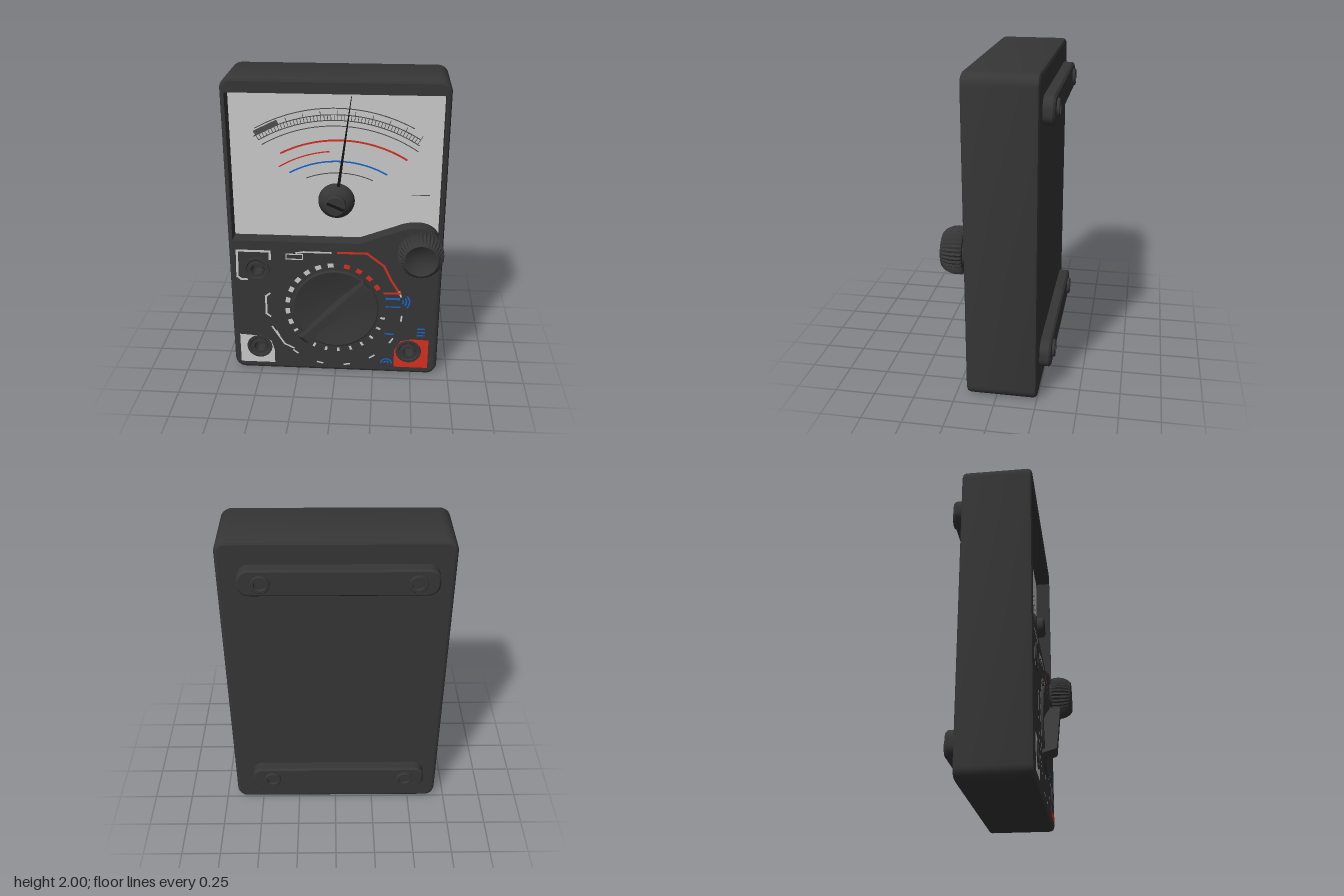
import * as THREE from 'three';
import { toCreasedNormals } from 'three/addons/utils/BufferGeometryUtils.js';

const mat = (color) => new THREE.MeshStandardMaterial({ color, side: THREE.DoubleSide });
const DARK = mat(0x363636), BLACK = mat(0x141414), GREY = mat(0xcccccc), INK = mat(0x505050);
const RED = mat(0xd8301f), BLUE = mat(0x1565d0);
const FRONT = 0.185, PANEL = 0.085, MARK = FRONT + 0.003, PRINT = PANEL + 0.003;
const V = (x, y) => new THREE.Vector2(x, y);

export function createModel() {
  const root = new THREE.Group();

  const add = (name, geo, material, x = 0, y = 0, z = 0, parent = root) => {
    const m = new THREE.Mesh(geo, material);
    m.name = name;
    m.position.set(x, y, z);
    parent.add(m);
    return m;
  };
  const group = (name) => {
    const g = new THREE.Group();
    g.name = name;
    root.add(g);
    return g;
  };

  // Rounded rectangle outline, anticlockwise
  const roundRect = (cx, cy, hw, hh, r, n = 8) => {
    const pts = [];
    [[1, -1], [1, 1], [-1, 1], [-1, -1]].forEach(([sx, sy], k) => {
      for (let i = 0; i <= n; i++) {
        const a = (k - 1 + i / n) * Math.PI / 2;
        pts.push(V(cx + sx * (hw - r) + r * Math.cos(a), cy + sy * (hh - r) + r * Math.sin(a)));
      }
    });
    return pts;
  };
  // Skin joining closed loops of equal length, given as [points, z]
  const skin = (loops, crease = 0.6) => {
    const pos = [], idx = [], n = loops[0][0].length;
    loops.forEach(([pts, z]) => pts.forEach((p) => pos.push(p.x, p.y, z)));
    for (let j = 0; j < loops.length - 1; j++) {
      for (let i = 0; i < n; i++) {
        const a = j * n + i, b = j * n + (i + 1) % n;
        idx.push(a, b, b + n, a, b + n, a + n);
      }
    }
    const g = new THREE.BufferGeometry();
    g.setAttribute('position', new THREE.Float32BufferAttribute(pos, 3));
    g.setIndex(idx);
    return toCreasedNormals(g, crease);
  };
  // Turned part around z from [radius, z] pairs
  const turned = (profile, seg = 40) =>
    new THREE.LatheGeometry(profile.map(([r, z]) => V(r, z)), seg).rotateX(Math.PI / 2);
  const crisp = (g) => toCreasedNormals(g, 0.6);
  const circleHole = (x, y, r) => new THREE.Path().absarc(x, y, r, 0, Math.PI * 2, true);

  // Flat print: arcs and strokes
  const arc = (name, m, cx, cy, r, w, a0, a1, z, parent) => add(name,
    new THREE.RingGeometry(r - w / 2, r + w / 2, 32, 1, a0 * Math.PI / 180, (a1 - a0) * Math.PI / 180),
    m, cx, cy, z, parent);
  const stroke = (name, m, pts, w, z, parent, closed = false) => {
    for (let i = 0; i < pts.length - (closed ? 0 : 1); i++) {
      const [x0, y0] = pts[i], [x1, y1] = pts[(i + 1) % pts.length];
      const s = add(name, new THREE.PlaneGeometry(Math.hypot(x1 - x0, y1 - y0) + w * 0.8, w), m,
        (x0 + x1) / 2, (y0 + y1) / 2, z, parent);
      s.rotation.z = Math.atan2(y1 - y0, x1 - x0);
    }
  };

  // Case
  const CX = -0.004, HW = 0.68;
  const outline = (inset) => roundRect(CX, 1, HW - inset, 1 - inset, 0.07 - inset);
  const body = group('case');
  add('caseSides', skin([[outline(0.02), -0.25], [outline(0.006), -0.243], [outline(0), -0.228],
    [outline(0), 0.16], [outline(0.007), 0.178], [outline(0.022), FRONT]]), DARK, 0, 0, 0, body);
  add('caseBack', new THREE.ShapeGeometry(new THREE.Shape(outline(0.02))).rotateY(Math.PI),
    DARK, 2 * CX, 0, -0.25, body).position.x = 2 * CX;

  // Window opening, its lower edge swelling around the thumb wheel
  const win = new THREE.Shape();
  win.moveTo(-0.655, 0.955);
  win.lineTo(0.15, 0.955);
  win.lineTo(0.39, 1.045);
  win.bezierCurveTo(0.48, 1.085, 0.6, 1.085, 0.645, 1.0);
  win.lineTo(0.645, 1.91);
  win.lineTo(-0.655, 1.91);
  const winPts = win.getPoints(12);

  const sockets = [[-0.51, 0.755], [-0.51, 0.175], [0.485, 0.175]];
  const KX = 0, KY = 0.485;
  const face = new THREE.Shape(outline(0.022));
  face.holes.push(new THREE.Path(winPts), circleHole(KX, KY, 0.262));
  sockets.forEach(([x, y]) => face.holes.push(circleHole(x, y, 0.06)));
  add('caseFront', new THREE.ShapeGeometry(face, 32), DARK, 0, 0, FRONT, body);
  add('windowWalls', skin([[winPts, FRONT], [winPts, PANEL]], 0.4), DARK, 0, 0, 0, body);

  // Dial panel with printed scales
  const dial = group('dial');
  add('dialPanel', new THREE.ShapeGeometry(win, 12), GREY, 0, 0, PANEL, dial);
  [[0.89, 56, 121], [0.925, 57, 121], [0.96, 58, 122], [1.0, 62, 120]].forEach(([r, a0, a1]) =>
    arc('blackScale', INK, 0, 0.8, r, 0.006, a0, a1, PRINT, dial));
  for (let i = 0; i <= 50; i++) {
    const a = (58 + i * 1.26) * Math.PI / 180, r = i % 5 ? 0.96 : 0.985;
    stroke('scaleTick', INK, [[0.925 * Math.cos(a), 0.8 + 0.925 * Math.sin(a)],
      [r * Math.cos(a), 0.8 + r * Math.sin(a)]], 0.004, PRINT, dial);
  }
  stroke('scaleBlock', INK, [[-0.49, 1.64], [-0.37, 1.7]], 0.035, PRINT, dial);
  arc('redScale', RED, 0.02, 0.82, 0.78, 0.012, 58, 118, PRINT, dial);
  arc('redScale', RED, 0.02, 0.82, 0.71, 0.008, 95, 122, PRINT, dial);
  arc('blueScale', BLUE, 0.01, 0.86, 0.605, 0.01, 60, 120, PRINT, dial);
  arc('lowerScale', INK, 0.01, 0.86, 0.53, 0.006, 66, 112, PRINT, dial);
  stroke('dialMark', INK, [[0.47, 1.255], [0.58, 1.255]], 0.005, PRINT, dial);

  // Needle and its slotted hub
  const needle = new THREE.Shape([V(-0.011, 0), V(0.011, 0), V(0.002, 0.68), V(-0.002, 0.68)]);
  add('needle', new THREE.ExtrudeGeometry(needle, { depth: 0.006, bevelEnabled: false }),
    BLACK, 0, 1.205, 0.11).rotation.z = -0.134;
  const hub = group('needleHub');
  hub.position.set(0, 1.205, 0);
  add('hubDome', crisp(turned([[0.115, PANEL], [0.113, 0.1], [0.1, 0.125], [0.075, 0.148], [0.065, 0.152]])),
    DARK, 0, 0, 0, hub);
  add('hubScrew', crisp(turned([[0.065, 0.14], [0.065, 0.188], [0.059, 0.194], [0, 0.194]])), DARK, 0, 0, 0, hub);
  add('hubSlot', new THREE.BoxGeometry(0.115, 0.018, 0.004), BLACK, 0, 0, 0.194, hub).rotation.z = -0.42;

  // Selector: shallow dish with a sloped grip bar
  const selector = group('selectorKnob');
  selector.position.set(KX, KY, 0);
  add('selectorDish', crisp(turned([[0.28, FRONT], [0.28, 0.198], [0.272, 0.203], [0.258, 0.201],
    [0.2, 0.185], [0.1, 0.172], [0, 0.168]], 56)), DARK, 0, 0, 0, selector);
  const gripSide = new THREE.Shape([V(-0.335, 0.187), V(0.28, 0.187), V(0.29, 0.2), V(0.29, 0.265), V(0.283, 0.272),
    V(-0.27, 0.272), V(-0.285, 0.265)]);
  gripSide.holes = [];
  const grip = add('selectorGrip', new THREE.ExtrudeGeometry(gripSide, { depth: 0.056, bevelEnabled: false })
    .translate(0, 0, -0.028).rotateX(Math.PI / 2), DARK, 0, 0, 0, selector);
  grip.rotation.z = 0.8;
  const root45 = add('selectorGripBase', new THREE.BoxGeometry(0.52, 0.056, 0.04), DARK, 0, 0, 0.175, selector);
  root45.rotation.z = 0.8;

  // Ribbed thumb wheel
  const wheelGeo = turned([[0.1, FRONT], [0.1, 0.2], [0.134, 0.2], [0.142, 0.213], [0.143, 0.25], [0.138, 0.28],
    [0.123, 0.312], [0.108, 0.33], [0.1, 0.333], [0.092, 0.328], [0.05, 0.308], [0, 0.302]], 144);
  const wp = wheelGeo.attributes.position;
  for (let i = 0; i < wp.count; i++) {
    const x = wp.getX(i), y = wp.getY(i);
    if (Math.hypot(x, y) < 0.115) continue;
    const k = 0.985 + 0.03 * Math.cos(36 * Math.atan2(y, x));
    wp.setXY(i, x * k, y * k);
  }
  add('thumbWheel', crisp(wheelGeo), DARK, 0.535, 0.917, 0);

  // Sockets
  sockets.forEach(([x, y]) => add('socket', crisp(turned([[0.085, FRONT], [0.083, 0.193], [0.066, 0.193],
    [0.06, 0.187], [0.052, 0.187], [0.05, 0.194], [0.036, 0.194], [0.032, 0.11], [0, 0.11]], 32)), DARK, x, y, 0));

  // Printed patches behind the lower sockets
  const patch = (name, m, pts, [hx, hy]) => {
    const s = new THREE.Shape(pts.map(([x, y]) => V(x, y)));
    s.holes.push(circleHole(hx, hy, 0.075));
    add(name, new THREE.ShapeGeometry(s, 16), m, 0, 0, MARK);
  };
  patch('greyPatch', GREY, [[-0.64, 0.05], [-0.41, 0.05], [-0.41, 0.15], [-0.43, 0.22], [-0.49, 0.255], [-0.64, 0.265]], sockets[1]);
  patch('redPatch', RED, [[0.39, 0.05], [0.615, 0.05], [0.615, 0.265], [0.5, 0.27], [0.43, 0.252], [0.39, 0.18]], sockets[2]);

  // Range markings around the selector
  const marks = group('rangeMarkings');
  stroke('socketFrame', GREY, [[-0.42, 0.83], [-0.42, 0.885], [-0.63, 0.885], [-0.635, 0.7], [-0.61, 0.68], [-0.575, 0.68]], 0.015, MARK, marks);
  stroke('rangeBox', GREY, [[-0.315, 0.835], [-0.21, 0.835], [-0.21, 0.87], [-0.315, 0.87]], 0.008, MARK, marks, true);
  stroke('rangeLine', GREY, [[-0.25, 0.88], [-0.2, 0.888], [-0.03, 0.888]], 0.012, MARK, marks);
  stroke('rangeLine', RED, [[0.015, 0.89], [0.2, 0.89], [0.31, 0.805], [0.36, 0.7], [0.415, 0.61], [0.315, 0.61]], 0.015, MARK, marks);
  stroke('rangeLine', GREY, [[-0.43, 0.58], [-0.455, 0.56], [-0.455, 0.43], [-0.43, 0.41]], 0.013, MARK, marks);
  stroke('rangeLine', GREY, [[-0.42, 0.33], [-0.34, 0.2], [-0.28, 0.17]], 0.012, MARK, marks);
  for (let a = 92; a < 350; a += 15) arc('rangeBlock', GREY, KX, KY, 0.315, 0.03, a, a + (a < 210 ? 7 : 3), MARK, marks);
  for (let a = 28; a < 88; a += 15) arc('rangeBlock', RED, KX, KY, 0.315, 0.03, a, a + 7, MARK, marks);
  for (let a = 205; a < 375; a += 24) arc('outerMark', GREY, KX, KY, 0.435, 0.012, a, a + 6, MARK, marks);
  stroke('blueMark', BLUE, [[0.33, 0.57], [0.41, 0.57]], 0.016, MARK, marks);
  stroke('blueMark', BLUE, [[0.33, 0.51], [0.42, 0.51]], 0.01, MARK, marks);
  stroke('blueMark', BLUE, [[0.33, 0.305], [0.38, 0.305]], 0.012, MARK, marks);
  [0.02, 0.04, 0.06].forEach((r) => arc('blueWave', BLUE, 0.42, 0.55, r, 0.01, -45, 45, MARK, marks));
  [0.015, 0.035].forEach((r) => arc('blueWave', BLUE, 0.34, 0.075, r, 0.01, 0, 180, MARK, marks));
  [0.3, 0.325, 0.35].forEach((y) => stroke('blueMark', BLUE, [[0.54, y], [0.585, y]], 0.01, MARK, marks));

  // Rear foot bars with screw bosses
  [0.24, 1.772].forEach((y) => {
    const foot = group('rearFoot');
    const bar = (i) => roundRect(-0.018, y, 0.573 - i, 0.086 - i, 0.07 - i);
    add('footBar', skin([[bar(0.012), -0.318], [bar(0), -0.306], [bar(0), -0.248]]), DARK, 0, 0, 0, foot);
    const cap = new THREE.Shape(bar(0.012));
    add('footCap', new THREE.ShapeGeometry(cap), DARK, 0, 0, -0.318, foot);
    [-0.463, 0.422].forEach((x) => add('footScrew', crisp(turned([[0.055, -0.315], [0.055, -0.331], [0.051, -0.335],
      [0.036, -0.335], [0.032, -0.322], [0, -0.322]], 24)), DARK, x, y, 0, foot));
  });
  return root;
}
